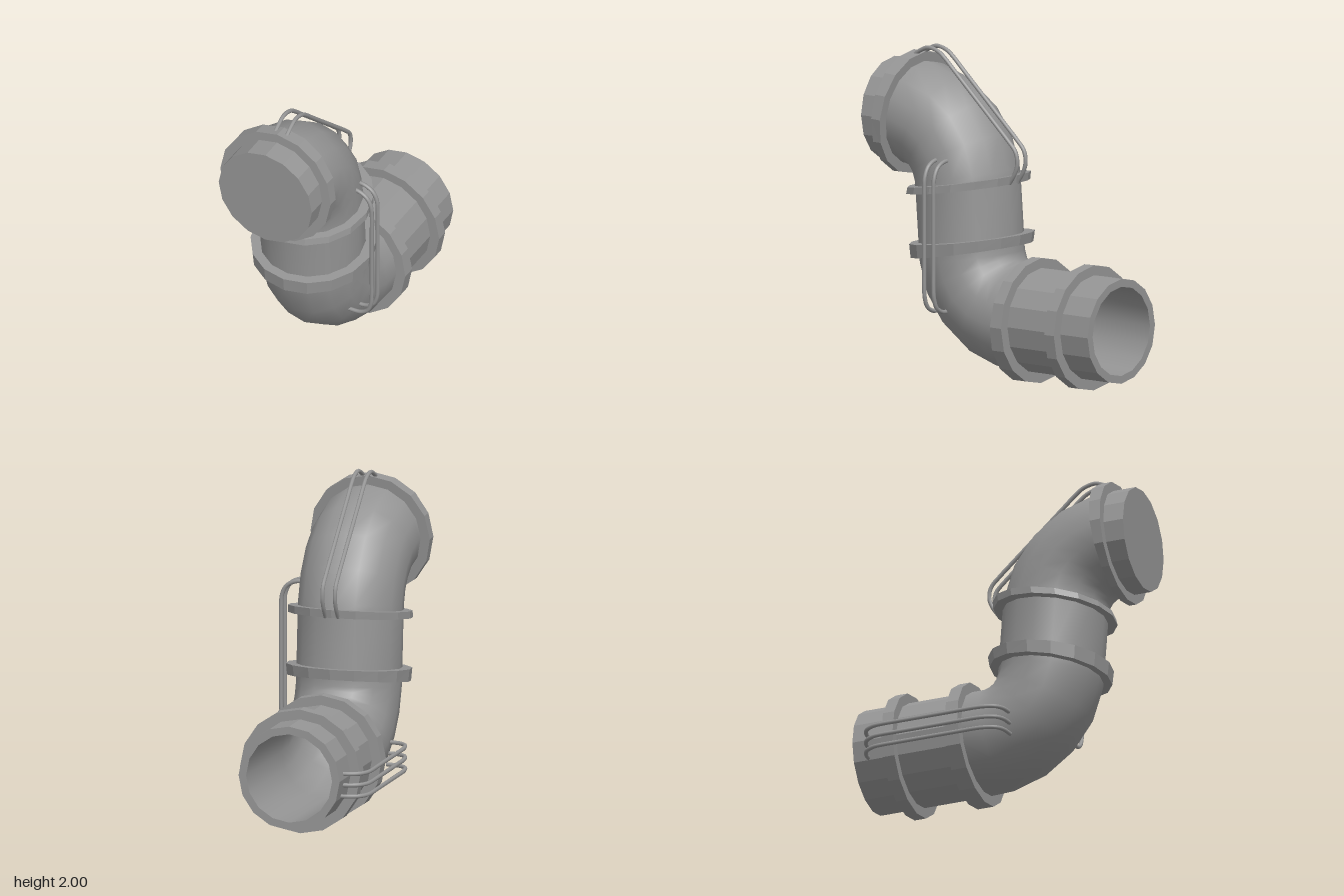
import * as THREE from 'three';

const SIDES = 16, R = 0.323, BORE = 0.275, CX = 0.009, LOW = 0.387, HIGH = 1.57;
const flatMat = new THREE.MeshStandardMaterial({ color: 0x949494, flatShading: true });
const smoothMat = new THREE.MeshStandardMaterial({ color: 0x949494 });
const rad = THREE.MathUtils.degToRad;

// Skin circular sections [z, y, heading, radius]; heading 0 runs along +z, PI/2 runs up
function loft(name, sections, material) {
  const pos = [], idx = [];
  for (const [z, y, heading, r] of sections) {
    for (let j = 0; j < SIDES; j++) {
      const t = (j / SIDES) * Math.PI * 2, u = r * Math.cos(t);
      pos.push(CX + r * Math.sin(t), y + u * Math.cos(heading), z - u * Math.sin(heading));
    }
  }
  for (let i = 0; i < sections.length - 1; i++) {
    for (let j = 0; j < SIDES; j++) {
      const k = (j + 1) % SIDES, a = i * SIDES, b = a + SIDES;
      idx.push(a + j, b + j, a + k, a + k, b + j, b + k);
    }
  }
  const geo = new THREE.BufferGeometry();
  geo.setAttribute('position', new THREE.Float32BufferAttribute(pos, 3));
  geo.setIndex(idx);
  geo.computeVertexNormals();
  const mesh = new THREE.Mesh(geo, material);
  mesh.name = name;
  return mesh;
}

// Sections around a bend; side = 1 bends upward, -1 bends back to level
function bend(cz, cy, from, to, side) {
  const out = [];
  for (let i = 0; i <= 4; i++) {
    const h = rad(from + ((to - from) * i) / 4);
    out.push([cz + side * 0.405 * Math.sin(h), cy - side * 0.405 * Math.cos(h), h, R]);
  }
  return out;
}

// Collar between two tilted planes, each given by its two opposite rim points (z, y)
function collar(name, a0, b0, a1, b1) {
  const section = (a, b, r) => [
    (a[0] + b[0]) / 2, (a[1] + b[1]) / 2,
    Math.atan2(b[0] - a[0], a[1] - b[1]),
    r ?? Math.hypot(a[0] - b[0], a[1] - b[1]) / 2,
  ];
  return loft(name, [section(a0, b0, 0.3), section(a0, b0), section(a1, b1), section(a1, b1, 0.3)], flatMat);
}

function wire(name, points) {
  const curve = new THREE.CatmullRomCurve3(points.map((p) => new THREE.Vector3(...p)));
  const mesh = new THREE.Mesh(new THREE.TubeGeometry(curve, 60, 0.013, 8), smoothMat);
  mesh.name = name;
  return mesh;
}

export function createModel() {
  const group = new THREE.Group();
  group.name = 'bentPipe';

  // Pipe runs and elbows, from the open back end to the closed front end
  const elbow1 = [[-0.2, LOW, 0, R], ...bend(-0.12, 0.792, 9, 81, 1), [0.285, 0.79, rad(84), R]];
  const elbow2 = [[0.313, 1.17, rad(85), R], ...bend(0.72, 1.165, 81, 9, -1), [0.74, HIGH, 0, R]];
  group.add(
    loft('lowerPipe', [[-0.89, LOW, 0, BORE], [-0.89, LOW, 0, R], [-0.2, LOW, 0, R]], flatMat),
    loft('lowerElbow', elbow1, smoothMat),
    loft('middlePipe', [elbow1[elbow1.length - 1], elbow2[0]], smoothMat),
    loft('upperElbow', elbow2, smoothMat),
    loft('frontPipe', [[0.7, HIGH, 0, R], [0.89, HIGH, 0, R], [0.89, HIGH, 0, 0]], flatMat),
  );

  // Inner wall, listed backwards so that it faces inward
  const bore = [[-0.89, LOW, 0], ...elbow1, ...elbow2, [0.88, HIGH, 0]];
  group.add(loft('innerWall', bore.map(([z, y, h]) => [z, y, h, BORE]).reverse(), smoothMat));

  // Collars
  group.add(
    collar('rearCollar', [-0.675, 0.77], [-0.675, 0], [-0.6, 0.77], [-0.6, 0]),
    collar('lowerElbowCollar', [-0.26, 0.77], [-0.26, 0], [-0.19, 0.77], [-0.155, 0]),
    collar('lowerMiddleCollar', [-0.09, 0.83], [0.655, 0.7], [-0.1, 0.895], [0.665, 0.79]),
    collar('upperMiddleCollar', [-0.065, 1.21], [0.69, 1.095], [-0.07, 1.26], [0.68, 1.135]),
    collar('frontCollar', [0.65, 1.945], [0.74, 1.187], [0.74, 1.95], [0.785, 1.187]),
  );

  // Wires over the upper elbow
  for (const x of [-0.028, 0.052]) {
    group.add(wire('topWire', [
      [1.92, 0.71], [1.955, 0.66], [1.983, 0.59], [1.965, 0.51], [1.925, 0.455], [1.85, 0.374],
      [1.54, 0.035], [1.475, -0.035], [1.41, -0.095], [1.34, -0.108], [1.28, -0.09], [1.21, -0.045],
    ].map(([y, z]) => [x, y, z])));
  }

  // Upright wires on the left side
  for (const z of [0.24, 0.313]) {
    group.add(wire('leftWire', [
      [0.27, 1.355], [0.34, 1.35], [0.395, 1.32], [0.425, 1.26], [0.43, 1.19], [0.43, 1.1],
      [0.43, 0.68], [0.43, 0.59], [0.425, 0.52], [0.4, 0.46], [0.35, 0.43], [0.27, 0.425],
    ].map(([x, y]) => [x, y, z])));
  }

  // Lengthwise wires on the right side
  for (const y of [0.277, 0.347, 0.417]) {
    group.add(wire('rightWire', [
      [-0.28, -0.795], [-0.34, -0.788], [-0.395, -0.76], [-0.43, -0.7], [-0.437, -0.64], [-0.437, -0.55],
      [-0.437, -0.12], [-0.437, -0.03], [-0.43, 0.03], [-0.41, 0.085], [-0.365, 0.12], [-0.28, 0.135],
    ].map(([x, z]) => [x, y, z])));
  }
  return group;
}
